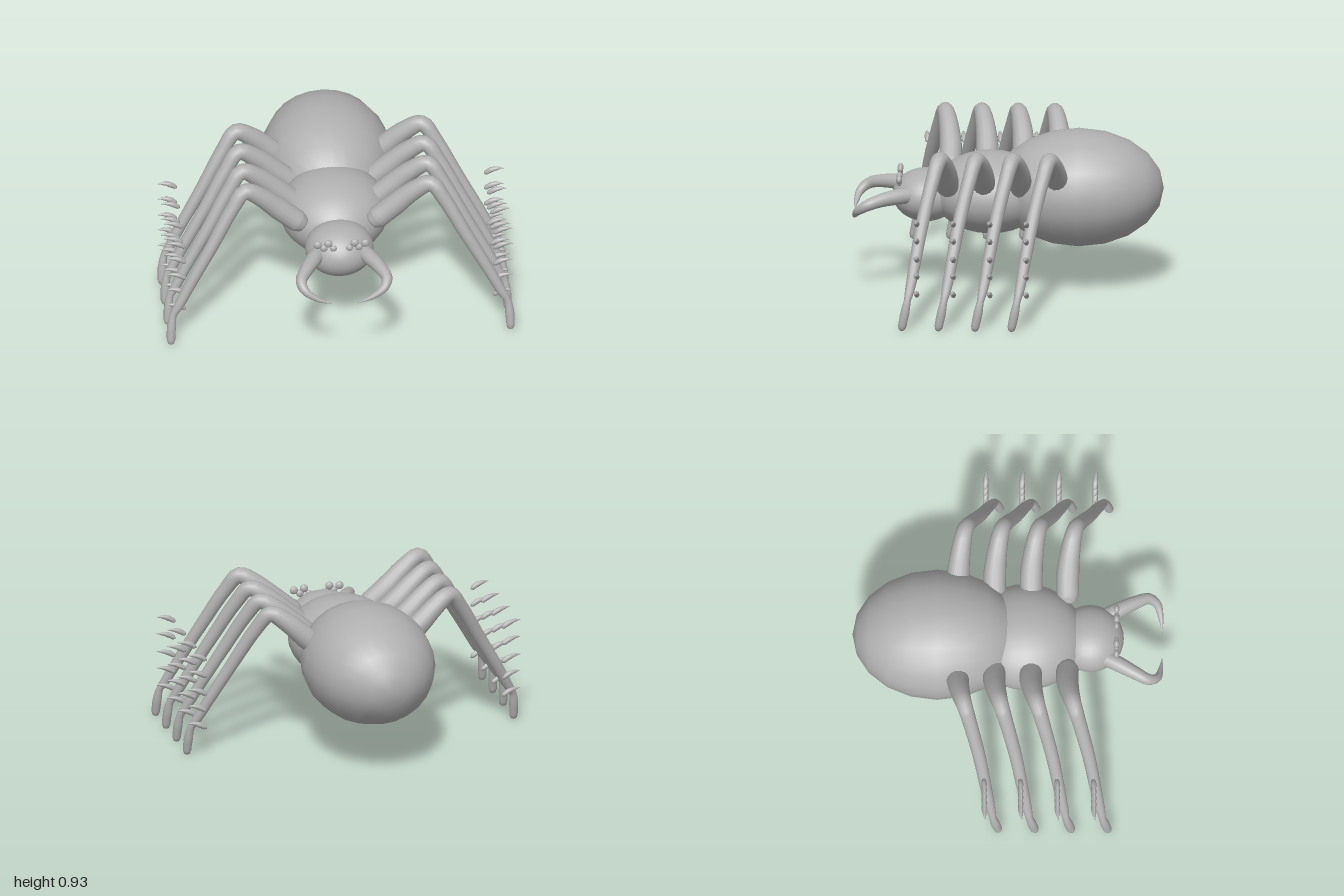
import * as THREE from 'three';
import { mergeVertices } from 'three/addons/utils/BufferGeometryUtils.js';

// Tapered limb: each station is [x, y, z, radius]; side mirrors it in x.
function limbGeometry(stations, side, steps, sides) {
  const curve = new THREE.CatmullRomCurve3(
    stations.map(([x, y, z]) => new THREE.Vector3(x * side, y, z)));
  curve.getPointAt = curve.getPoint;
  curve.getTangentAt = curve.getTangent;
  let geo = new THREE.TubeGeometry(curve, steps, 1, sides);
  const pos = geo.attributes.position;
  const v = new THREE.Vector3();
  for (let i = 0; i <= steps; i++) {
    const t = (i / steps) * (stations.length - 1);
    const k = Math.min(Math.floor(t), stations.length - 2);
    const r = THREE.MathUtils.lerp(stations[k][3], stations[k + 1][3], t - k);
    const centre = curve.getPoint(i / steps);
    for (let j = 0; j <= sides; j++) {
      const n = i * (sides + 1) + j;
      v.fromBufferAttribute(pos, n).sub(centre).multiplyScalar(r).add(centre);
      pos.setXYZ(n, v.x, v.y, v.z);
    }
  }
  geo.deleteAttribute('uv');
  geo.deleteAttribute('normal');
  geo = mergeVertices(geo, 1e-5);
  geo.computeVertexNormals();
  return geo;
}

export function createModel() {
  const model = new THREE.Group();
  const bodyGrey = new THREE.MeshStandardMaterial({ color: 0xb0b0b0 });
  bodyGrey.name = 'bodyGrey';

  const add = (parent, name, geo) => {
    const mesh = new THREE.Mesh(geo, bodyGrey);
    mesh.name = name;
    parent.add(mesh);
    return mesh;
  };

  // Ellipsoid with its poles along z
  const ellipsoid = (name, [x, y, z], [rx, ry, rz], w = 32, h = 16) => {
    const geo = new THREE.SphereGeometry(1, w, h);
    geo.rotateX(Math.PI / 2).scale(rx, ry, rz).translate(x, y, z);
    add(model, name, geo);
  };

  // Three body segments, the abdomen coarser than the rest
  ellipsoid('abdomen', [0, 0.59, -0.4], [0.374, 0.333, 0.482], 24, 10);
  ellipsoid('thorax', [0, 0.56, 0.1], [0.31, 0.232, 0.33]);
  ellipsoid('head', [0, 0.54, 0.465], [0.195, 0.15, 0.19]);

  // Leg stations, z measured from the foot
  const legStations = [
    [0.185, 0.615, -0.225, 0],
    [0.195, 0.624, -0.225, 0.045],
    [0.23, 0.65, -0.228, 0.064],
    [0.33, 0.735, -0.228, 0.064],
    [0.44, 0.835, -0.212, 0.055],
    [0.53, 0.887, -0.19, 0.046],
    [0.6, 0.8, -0.16, 0.041],
    [0.725, 0.58, -0.105, 0.037],
    [0.845, 0.37, -0.065, 0.033],
    [0.915, 0.24, -0.04, 0.028],
    [0.95, 0.18, -0.026, 0.02],
    [0.961, 0.11, -0.012, 0.026],
    [0.965, 0.035, 0.003, 0.024],
    [0.965, 0.014, 0.006, 0.017],
    [0.965, 0.004, 0.007, 0],
  ];
  const spineHeights = [0.63, 0.528, 0.42, 0.32, 0.215];

  for (const side of [1, -1]) {
    const label = side > 0 ? 'left' : 'right';

    // Four identical legs, each with a column of small curved spines
    for (let i = 0; i < 4; i++) {
      const leg = new THREE.Group();
      leg.name = `${label}Leg${i + 1}`;
      leg.position.z = 0.565 - i * 0.207;
      model.add(leg);
      add(leg, 'limb', limbGeometry(legStations, side, 56, 14));
      for (const y of spineHeights) {
        const spine = [
          [0.872, y - 0.032, -0.078, 0],
          [0.882, y - 0.024, -0.078, 0.013],
          [0.912, y - 0.005, -0.076, 0.016],
          [0.95, y + 0.006, -0.073, 0.01],
          [0.985, y + 0.007, -0.068, 0],
        ];
        add(leg, 'spine', limbGeometry(spine, side, 12, 8));
      }
    }

    // Curved mandible
    const mandible = [
      [0.1, 0.565, 0.5, 0.045],
      [0.16, 0.567, 0.62, 0.045],
      [0.212, 0.557, 0.72, 0.038],
      [0.243, 0.535, 0.795, 0.032],
      [0.222, 0.5, 0.843, 0.025],
      [0.15, 0.455, 0.865, 0.014],
      [0.07, 0.425, 0.872, 0],
    ];
    add(model, `${label}Mandible`, limbGeometry(mandible, side, 36, 14));

    // Cluster of four eyes
    for (const [x, y, r] of [[0.135, 0.66, 0.024], [0.075, 0.665, 0.024],
      [0.1, 0.637, 0.022], [0.045, 0.632, 0.02]]) {
      ellipsoid(`${label}Eye`, [x * side, y, 0.614], [r, r, r * 0.7], 14, 10);
    }
  }
  return model;
}
